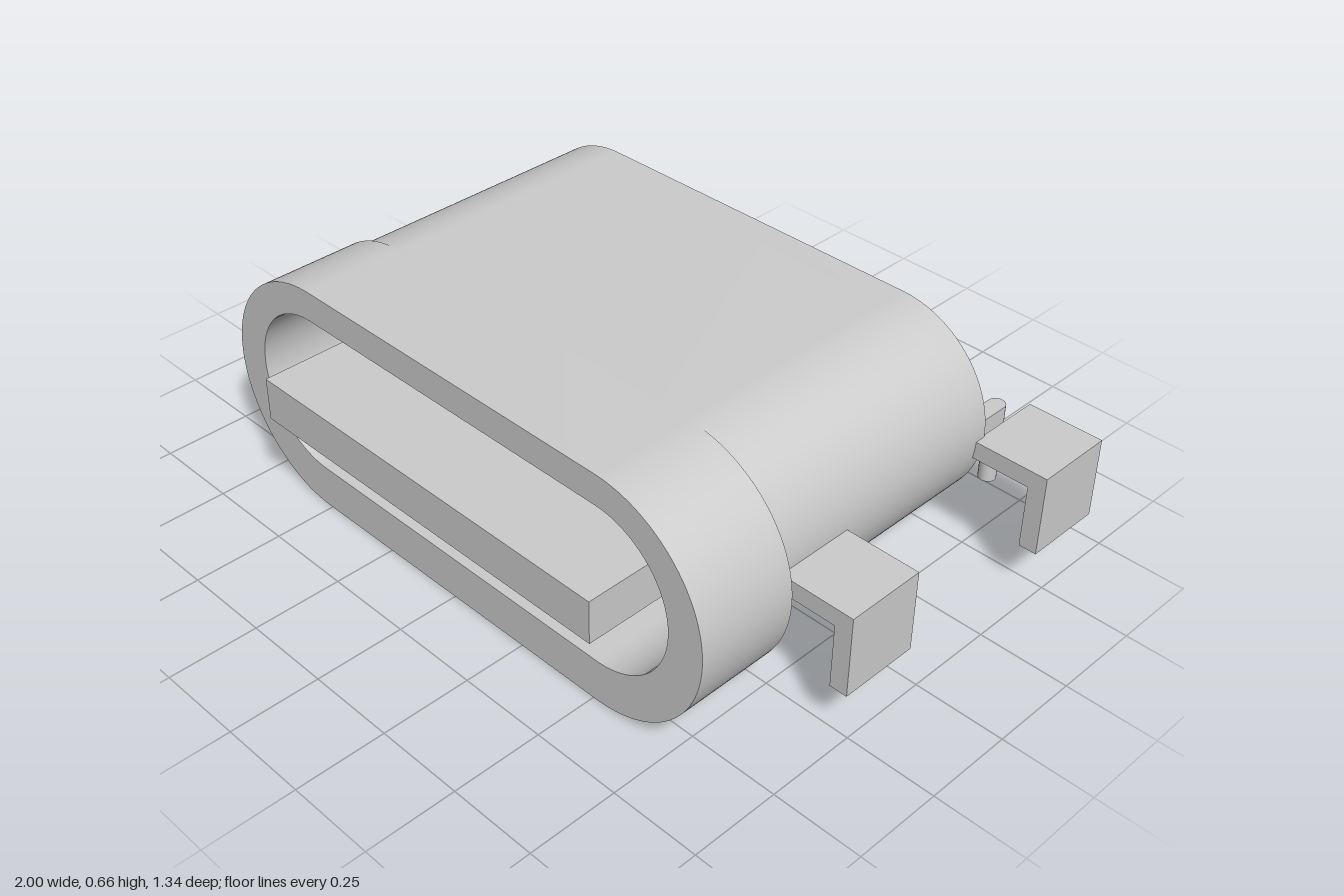
import * as THREE from 'three';
import { toCreasedNormals } from 'three/addons/utils/BufferGeometryUtils.js';

const material = new THREE.MeshStandardMaterial({ color: 0xcccccc });

// Stadium outline: straight half-length h, end radius r, centre height cy
function stadium(h, r, cy, path = new THREE.Shape()) {
  path.moveTo(-h, cy - r);
  path.lineTo(h, cy - r);
  path.absarc(h, cy, r, -Math.PI / 2, Math.PI / 2, false);
  path.lineTo(-h, cy + r);
  path.absarc(-h, cy, r, Math.PI / 2, Math.PI * 1.5, false);
  return path;
}

export function createModel() {
  const model = new THREE.Group();
  model.name = 'portConnector';

  function add(name, geometry) {
    const mesh = new THREE.Mesh(geometry, material);
    mesh.name = name;
    model.add(mesh);
    return mesh;
  }
  function extrude(name, shape, z0, z1) {
    const g = new THREE.ExtrudeGeometry(shape, { depth: z1 - z0, bevelEnabled: false, curveSegments: 32 });
    g.translate(0, 0, z0);
    return add(name, toCreasedNormals(g, 0.5));
  }
  function box(name, x0, x1, y0, y1, z0, z1) {
    const g = new THREE.BoxGeometry(x1 - x0, y1 - y0, z1 - z0);
    g.translate((x0 + x1) / 2, (y0 + y1) / 2, (z0 + z1) / 2);
    return add(name, g);
  }
  const opening = () => stadium(0.51, 0.228, 0.351, new THREE.Path());

  // Front collar and shell share one cavity, closed by the back plate
  const collar = stadium(0.51, 0.332, 0.332);
  collar.holes.push(opening());
  extrude('frontCollar', collar, 0.287, 0.575);

  const shell = stadium(0.503, 0.287, 0.377);
  shell.holes.push(opening());
  extrude('shell', shell, -0.4, 0.287);
  extrude('backPlate', stadium(0.503, 0.287, 0.377), -0.477, -0.4);

  // Contact tongue inside the cavity
  box('tongue', -0.592, 0.592, 0.29, 0.412, -0.42, 0.672);

  // Row of contact pins at the back
  for (const x of [0.04, 0.13, 0.22, 0.307, 0.398, 0.46, 0.55, 0.612]) {
    for (const s of [-1, 1]) {
      box('contactPin', s * x - 0.021, s * x + 0.021, 0.24, 0.32, -0.638, -0.47);
    }
  }

  for (const s of [-1, 1]) {
    // Bent mounting legs
    for (const [name, z0] of [['frontLeg', 0.04], ['rearLeg', -0.672]]) {
      const profile = new THREE.Shape([
        [0.785, 0.37], [0.785, 0.32], [0.95, 0.32], [0.95, 0.14], [1, 0.14], [1, 0.37],
      ].map(([x, y]) => new THREE.Vector2(s * x, y)));
      extrude(name, profile, z0, z0 + 0.227);
    }
    // Round locating post on a short arm
    const post = add('locatingPost', new THREE.CylinderGeometry(0.024, 0.024, 0.23, 20));
    post.position.set(s * 0.725, 0.255, -0.614);
    box('postArm', s * 0.725 - 0.024, s * 0.725 + 0.024, 0.322, 0.37, -0.614, -0.45);
  }

  return model;
}
